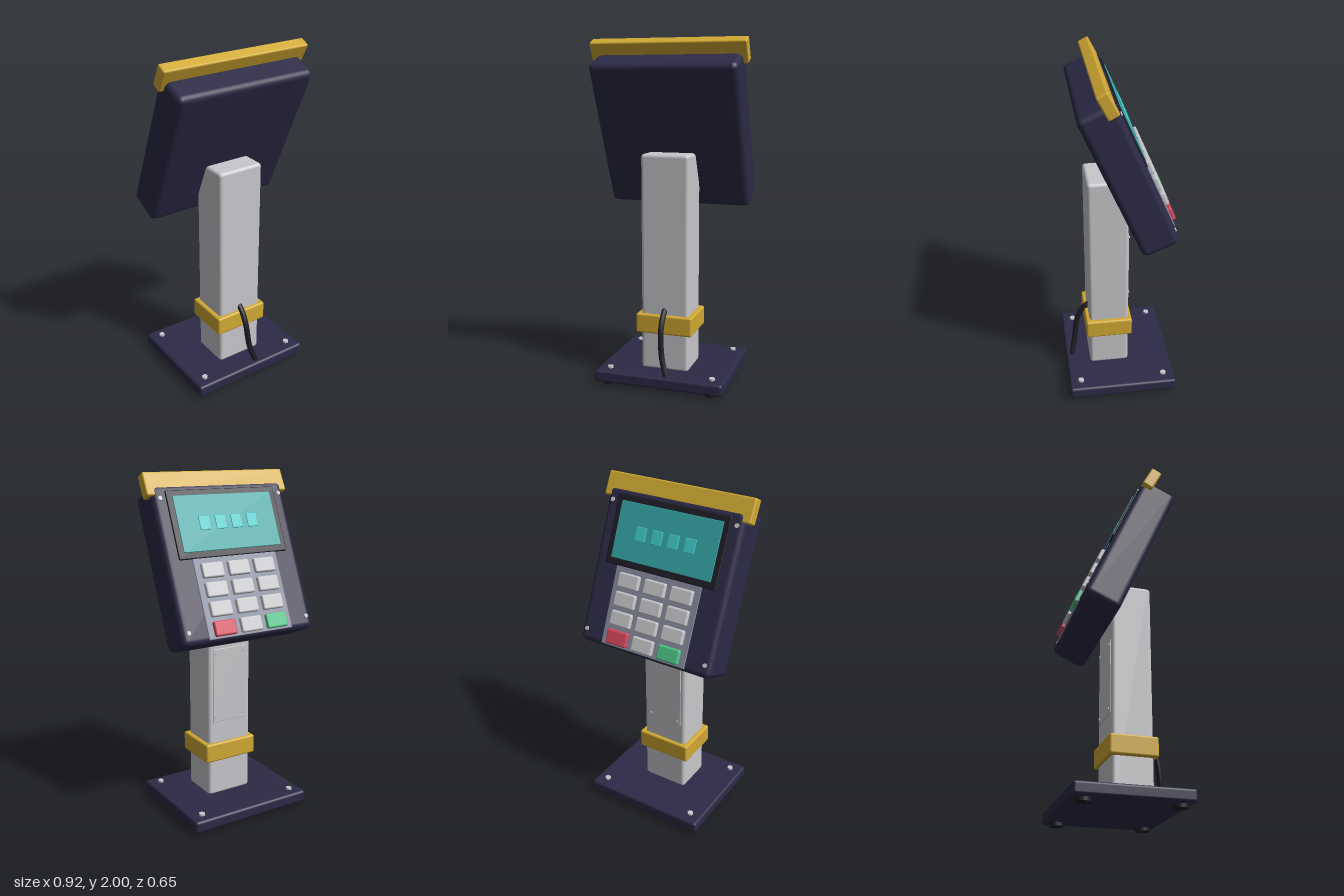
import * as THREE from 'three';
import { RoundedBoxGeometry } from 'three/addons/geometries/RoundedBoxGeometry.js';

const mat = (name, color) => Object.assign(new THREE.MeshStandardMaterial({ color }), { name });

export function createModel() {
  const navy = mat('navy', 0x2c2a46), silver = mat('silver', 0xc8c8cc), gold = mat('gold', 0xd1a933);
  const black = mat('black', 0x1c1c25), teal = mat('screen teal', 0x34a6a5), cyan = mat('digit cyan', 0x3fcbca);
  const grey = mat('panel grey', 0x868a9d), red = mat('red', 0xd6485c), green = mat('green', 0x4fc486);

  const model = new THREE.Group();
  model.name = 'keypadTerminal';

  const add = (parent, name, geometry, material, x, y, z) => {
    const mesh = new THREE.Mesh(geometry, material);
    mesh.name = name;
    mesh.position.set(x, y, z);
    parent.add(mesh);
    return mesh;
  };
  const box = (parent, name, material, [w, h, d], [x, y, z], r = 0.01) =>
    add(parent, name, new RoundedBoxGeometry(w, h, d, 3, r), material, x, y, z);
  const disc = (parent, name, material, r, h, [x, y, z], facing = false) => {
    const mesh = add(parent, name, new THREE.CylinderGeometry(r, r, h, 20), material, x, y, z);
    if (facing) mesh.rotation.x = Math.PI / 2;
    return mesh;
  };

  // Base with rubber feet and bolts
  box(model, 'base', navy, [0.77, 0.07, 0.65], [0, 0.055, 0], 0.016);
  for (const sx of [-1, 1]) for (const sz of [-1, 1]) {
    disc(model, 'foot', black, 0.042, 0.024, [sx * 0.31, 0.012, sz * 0.255]);
    disc(model, 'baseBolt', silver, 0.017, 0.016, [sx * 0.31, 0.094, sz * 0.255]);
  }

  // Post, collar and service plate
  box(model, 'post', silver, [0.286, 1.275, 0.238], [0, 0.7175, 0.059], 0.02);
  box(model, 'collar', gold, [0.34, 0.115, 0.28], [0, 0.3625, 0.06], 0.012);
  box(model, 'servicePlate', silver, [0.23, 0.45, 0.008], [0, 0.775, -0.061], 0.003);
  for (const x of [-0.095, 0.095]) for (const y of [0.58, 0.97])
    disc(model, 'plateScrew', silver, 0.009, 0.012, [x, y, -0.065], true);

  // Cable from the post down to the base
  const path = new THREE.CatmullRomCurve3([
    [0, 0.445, 0.172], [0, 0.42, 0.2], [0, 0.35, 0.24], [0.012, 0.2, 0.265], [0.045, 0.085, 0.287],
  ].map((p) => new THREE.Vector3(...p)));
  add(model, 'cable', new THREE.TubeGeometry(path, 32, 0.017, 10), black, 0, 0, 0);
  add(model, 'cableEnd', new THREE.SphereGeometry(0.017, 10, 8), black, 0, 0.445, 0.172);

  // Tilted head; its face looks along local -z
  const head = new THREE.Group();
  head.name = 'head';
  head.position.set(0, 1.4825, -0.0215);
  head.rotation.x = 0.41;
  model.add(head);
  box(head, 'housing', navy, [0.86, 0.894, 0.218], [0, 0, 0], 0.035);

  // Display
  box(head, 'bezel', black, [0.71, 0.39, 0.03], [0, 0.215, -0.103], 0.006);
  box(head, 'screen', teal, [0.64, 0.32, 0.008], [0, 0.217, -0.1185], 0.003);
  for (let i = 0; i < 4; i++)
    box(head, 'digit', cyan, [0.067, 0.078, 0.008], [(i - 1.5) * 0.104, 0.215, -0.1225], 0.003);

  // Keypad
  box(head, 'keypadPanel', grey, [0.55, 0.46, 0.02], [0, -0.2, -0.104], 0.004);
  for (let row = 0; row < 4; row++) for (let col = -1; col <= 1; col++) {
    const material = row === 3 && col ? (col > 0 ? red : green) : silver;
    box(head, 'key', material, [0.137, 0.084, 0.03], [col * 0.17, -0.052 - row * 0.108, -0.12], 0.01);
  }

  // Corner screws
  for (const x of [-0.39, 0.39]) for (const y of [-0.375, 0.37])
    disc(head, 'faceScrew', silver, 0.012, 0.014, [x, y, -0.108], true);

  // Visor along the top edge
  const visor = box(model, 'visor', gold, [0.916, 0.137, 0.066], [0, 1.9275, 0.0975], 0.01);
  visor.rotation.x = 0.48;

  return model;
}
